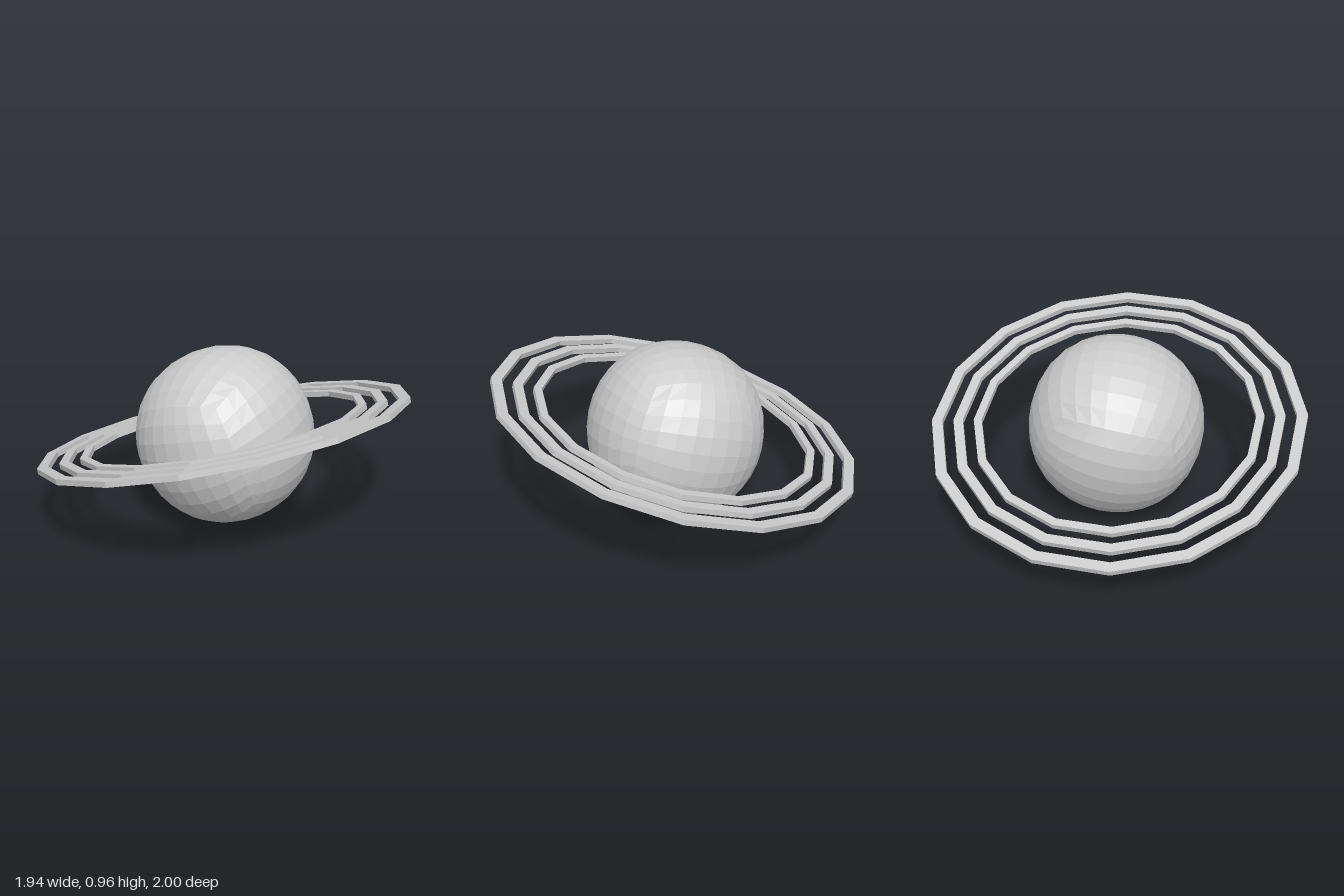
import * as THREE from 'three';

const TILT = 0.273;
const SIDES = 16;
const THICKNESS = 0.03;

// Planet: a cube grid rounded into a faceted ball, slightly fuller at the cube corners
function makePlanet(material) {
  const geometry = new THREE.BoxGeometry(2, 2, 2, 8, 8, 8);
  const position = geometry.attributes.position;
  const v = new THREE.Vector3();
  for (let i = 0; i < position.count; i++) {
    v.fromBufferAttribute(position, i);
    v.set(...v.toArray().map((c) => Math.tan((c * Math.PI) / 4))).normalize();
    const fullness = 1.5 * (1 - v.x ** 4 - v.y ** 4 - v.z ** 4);
    v.multiplyScalar(0.475 + 0.012 * fullness);
    position.setXYZ(i, v.x, v.y, v.z);
  }
  geometry.computeVertexNormals();
  const planet = new THREE.Mesh(geometry, material);
  planet.name = 'planet';
  planet.position.set(0.006, 0.478, -0.01);
  planet.rotation.set(0.2, 0.15, TILT);
  return planet;
}

// Corners of a ring outline, given the distance from centre to flat side
function ringOutline(apothem) {
  const radius = apothem / Math.cos(Math.PI / SIDES);
  return Array.from({ length: SIDES }, (_, i) => {
    let a = ((i + 0.5) / SIDES) * Math.PI * 2;
    a += 0.02 * Math.max(0, Math.cos(a));
    return new THREE.Vector2(radius * Math.cos(a), radius * Math.sin(a));
  });
}

function makeRing(name, outer, inner, material) {
  const shape = new THREE.Shape(ringOutline(outer));
  shape.holes.push(new THREE.Path(ringOutline(inner)));
  const geometry = new THREE.ExtrudeGeometry(shape, { depth: THICKNESS, bevelEnabled: false });
  geometry.translate(0, 0, -THICKNESS / 2);
  geometry.rotateX(Math.PI / 2);
  const ring = new THREE.Mesh(geometry, material);
  ring.name = name;
  return ring;
}

export function createModel() {
  const material = new THREE.MeshStandardMaterial({ color: 0xcccccc, flatShading: true });
  const model = new THREE.Group();
  model.name = 'ringedPlanet';
  model.add(makePlanet(material));

  // Three concentric flat rings sharing one tilt
  const rings = new THREE.Group();
  rings.name = 'rings';
  rings.add(
    makeRing('outerRing', 1.0, 0.943, material),
    makeRing('middleRing', 0.883, 0.832, material),
    makeRing('innerRing', 0.773, 0.73, material)
  );
  rings.position.set(-0.002, 0.51, 0);
  rings.rotation.z = TILT;
  model.add(rings);
  return model;
}
